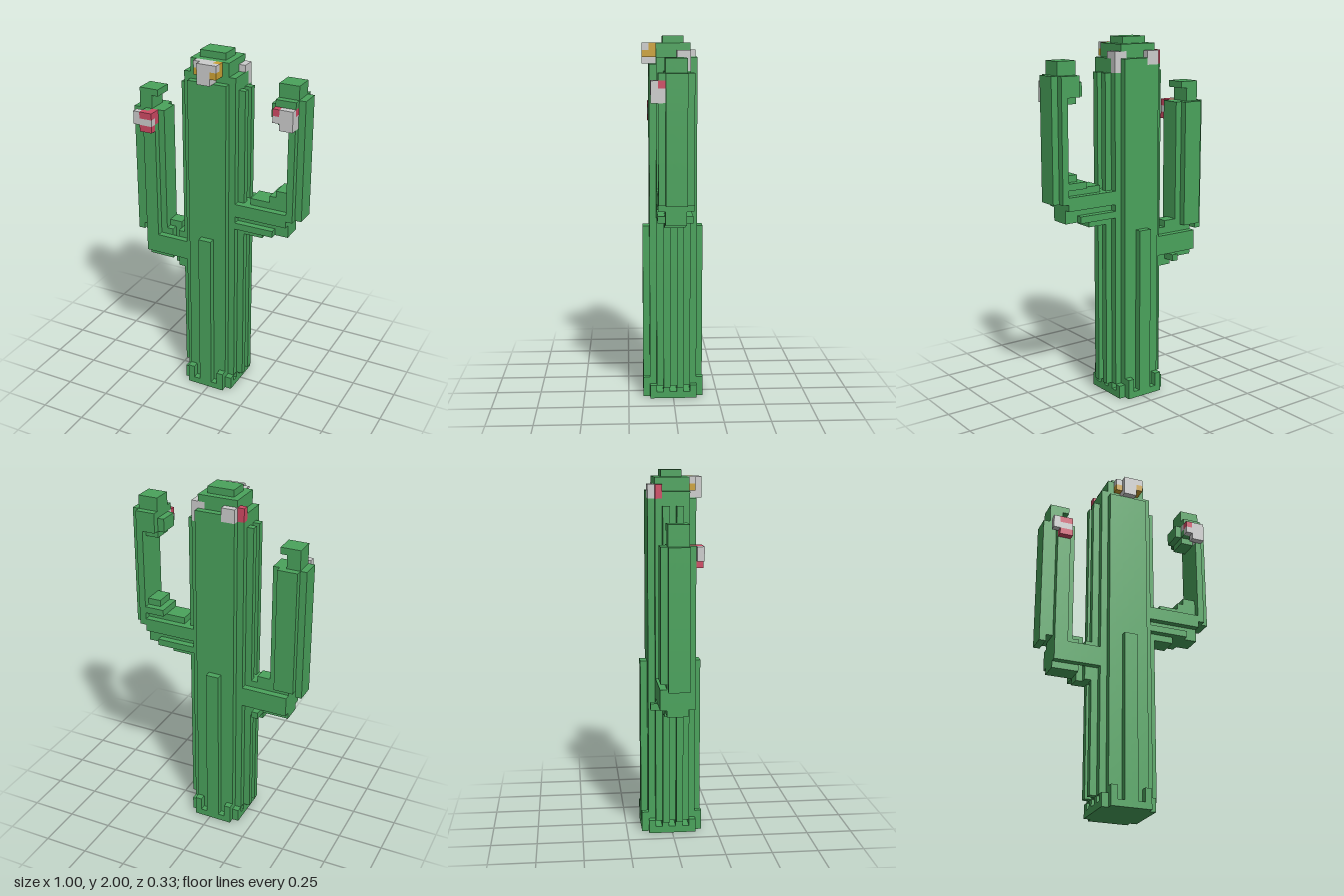
import * as THREE from 'three';

const U = 1 / 27; // edge of one cube
const green = new THREE.MeshStandardMaterial({ color: 0x4aa35c });
const pale = new THREE.MeshStandardMaterial({ color: 0xcdcdcd });
const red = new THREE.MeshStandardMaterial({ color: 0xd04a64 });
const yellow = new THREE.MeshStandardMaterial({ color: 0xcda234 });
green.name = 'cactusGreen';
pale.name = 'petalGrey';
red.name = 'petalRed';
yellow.name = 'petalYellow';

export function createModel() {
  const group = new THREE.Group();
  const cells = new Map();
  const key = (i, j, k) => (i * 64 + j) * 16 + k;

  // Fill (or clear, when mat is null) the block of cubes between two grid corners
  function fill(part, mat, i0, i1, j0, j1, k0, k1) {
    for (let i = i0; i < i1; i++)
      for (let j = j0; j < j1; j++)
        for (let k = k0; k < k1; k++)
          if (mat) cells.set(key(i, j, k), { part, mat, p: [i, j, k] });
          else cells.delete(key(i, j, k));
  }

  // Trunk: ribbed stepped column, mirrored front to back
  const trunk = (...b) => fill('trunk', green, ...b);
  trunk(9, 17, 0, 1, 1, 8);
  trunk(10, 16, 0, 1, 0, 9);
  for (const k of [1, 7]) trunk(10, 16, 1, k === 1 ? 51 : 50, k, k + 1);
  for (const k of [2, 6]) {
    trunk(9, 17, 1, 51, k, k + 1);
    trunk(10, 16, 51, 53, k, k + 1);
  }
  trunk(9, 17, 1, 51, 3, 6);
  trunk(10, 16, 51, 53, 3, 6);
  trunk(11, 15, 53, 54, 3, 6);
  for (const i of [8, 17]) for (const k of [3, 5]) trunk(i, i + 1, 2, 49, k, k + 1);
  for (const k of [0, 8]) {
    trunk(12, 14, 0, 26, k, k + 1);
    for (const i of [10, 15]) trunk(i, i + 1, 0, 3, k, k + 1);
  }
  for (const i of [9, 16]) for (const k of [1, 7]) trunk(i, i + 1, 0, 2, k, k + 1);
  for (const k of [2, 4, 6]) fill('', null, 8, 18, 1, 2, k, k + 1);

  // Right arm: elbow, ribbed column and hooked tip
  const rightArm = (...b) => fill('rightArm', green, ...b);
  rightArm(2, 6, 20, 25, 3, 6);
  rightArm(2, 9, 21, 24, 2, 7);
  rightArm(6, 9, 19, 24, 3, 6);
  rightArm(5, 7, 24, 26, 3, 5);
  rightArm(7, 9, 24, 25, 3, 6);
  rightArm(6, 7, 20, 21, 1, 3);
  fill('', null, 6, 7, 19, 26, 5, 6);
  rightArm(0, 1, 24, 44, 3, 6);
  rightArm(1, 5, 25, 44, 3, 6);
  rightArm(1, 4, 25, 44, 2, 3);
  rightArm(2, 4, 24, 44, 6, 7);
  rightArm(1, 3, 44, 46, 3, 6);
  rightArm(1, 4, 46, 47, 3, 6);

  // Left arm: layered elbow, column and rounded tip
  const leftArm = (...b) => fill('leftArm', green, ...b);
  leftArm(16, 25, 30, 32, 2, 7);
  leftArm(17, 25, 28, 30, 3, 6);
  leftArm(17, 21, 27, 28, 3, 6);
  leftArm(17, 23, 28, 29, 2, 7);
  leftArm(19, 25, 32, 33, 3, 6);
  leftArm(22, 25, 33, 34, 2, 6);
  leftArm(23, 25, 34, 35, 3, 6);
  leftArm(25, 26, 31, 49, 2, 7);
  leftArm(26, 27, 31, 49, 3, 6);
  leftArm(23, 26, 45, 51, 3, 6);
  leftArm(23, 25, 46, 49, 2, 7);
  leftArm(22, 23, 46, 48, 3, 6);

  // Front flower near the trunk top
  fill('frontFlower', pale, 11, 15, 52, 53, 7, 9);
  fill('frontFlower', pale, 12, 14, 50, 52, 7, 9);
  fill('frontFlower', yellow, 11, 12, 51, 52, 7, 9);
  fill('frontFlower', yellow, 14, 15, 51, 53, 7, 8);
  fill('frontFlower', yellow, 14, 15, 51, 52, 8, 9);
  fill('', null, 11, 12, 51, 53, 8, 9);

  // Flower on the left of the trunk
  fill('sideFlower', pale, 15, 17, 51, 52, 2, 3);
  fill('sideFlower', pale, 16, 17, 49, 52, 2, 3);
  fill('sideFlower', pale, 16, 17, 51, 52, 3, 4);

  // Flower at the back of the trunk
  fill('backFlower', pale, 10, 12, 50, 52, 1, 2);
  fill('backFlower', red, 9, 11, 50, 52, 2, 3);

  // Right arm flower
  fill('rightArmFlower', pale, 1, 2, 42, 44, 7, 8);
  fill('rightArmFlower', red, 2, 4, 43, 44, 7, 8);
  fill('rightArmFlower', pale, 2, 4, 42, 43, 7, 8);
  fill('rightArmFlower', red, 2, 4, 41, 42, 7, 8);
  fill('rightArmFlower', red, 3, 4, 42, 44, 6, 7);

  // Left arm flower
  fill('leftArmFlower', pale, 24, 26, 45, 48, 7, 8);
  fill('leftArmFlower', pale, 23, 24, 46, 47, 7, 8);
  fill('leftArmFlower', red, 23, 24, 47, 48, 7, 8);
  fill('leftArmFlower', pale, 25, 26, 45, 47, 6, 7);
  fill('leftArmFlower', red, 25, 26, 47, 48, 6, 7);
  fill('leftArmFlower', pale, 23, 24, 47, 48, 6, 7);

  // Collect the exposed cube faces of each part and colour
  const batches = new Map();
  for (const { part, mat, p } of cells.values()) {
    const id = part + mat.name;
    if (!batches.has(id)) batches.set(id, { part, mat, pos: [], nor: [] });
    const { pos, nor } = batches.get(id);
    for (let a = 0; a < 3; a++)
      for (const s of [0, 1]) {
        const n = [0, 0, 0];
        n[a] = s ? 1 : -1;
        if (cells.has(key(p[0] + n[0], p[1] + n[1], p[2] + n[2]))) continue;
        const b = (a + 1) % 3, c = (a + 2) % 3;
        const quad = [[0, 0], [1, 0], [1, 1], [0, 1]].map(([u, v]) => {
          const q = [...p];
          q[a] += s; q[b] += u; q[c] += v;
          return [(q[0] - 13.5) * U, q[1] * U, (q[2] - 4.5) * U];
        });
        for (const t of s ? [0, 1, 2, 0, 2, 3] : [0, 2, 1, 0, 3, 2]) {
          pos.push(...quad[t]);
          nor.push(...n);
        }
      }
  }
  for (const { part, mat, pos, nor } of batches.values()) {
    const geo = new THREE.BufferGeometry();
    geo.setAttribute('position', new THREE.Float32BufferAttribute(pos, 3));
    geo.setAttribute('normal', new THREE.Float32BufferAttribute(nor, 3));
    const mesh = new THREE.Mesh(geo, mat);
    mesh.name = part;
    group.add(mesh);
  }
  return group;
}
